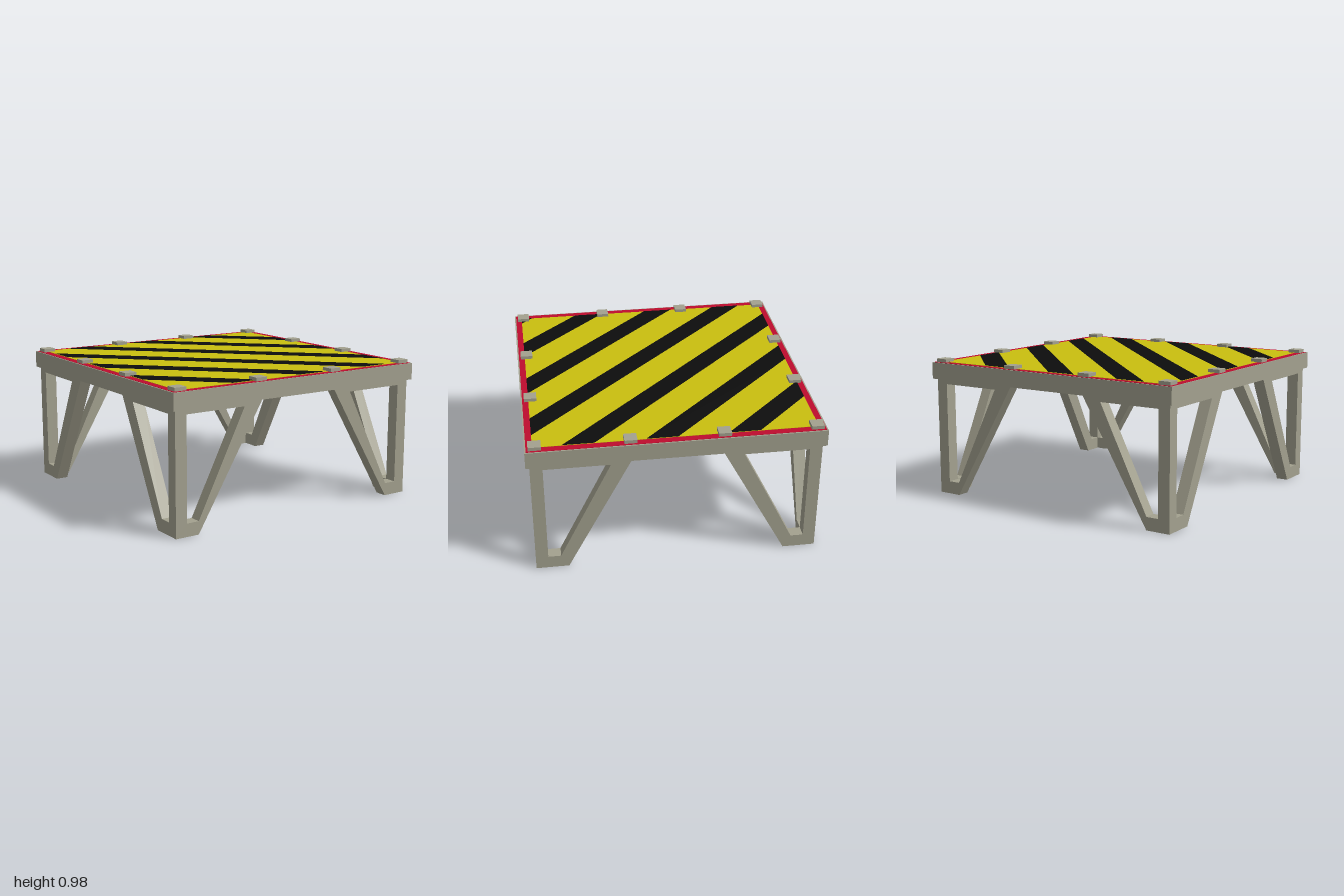
import * as THREE from 'three';

const mat = (name, color) => {
  const m = new THREE.MeshStandardMaterial({ color });
  m.name = name;
  return m;
};

export function createModel() {
  const root = new THREE.Group();
  root.name = 'platform';
  const frameMat = mat('painted metal', 0xa3a18f);
  const redMat = mat('border red', 0xbe0c2e);
  const yellowMat = mat('warning yellow', 0xcabf0f);
  const blackMat = mat('stripe black', 0x0d0d0d);

  const add = (name, geometry, material, x = 0, y = 0, z = 0, parent = root) => {
    const mesh = new THREE.Mesh(geometry, material);
    mesh.name = name;
    mesh.position.set(x, y, z);
    parent.add(mesh);
    return mesh;
  };
  const slab = (name, w, d, y0, y1, material) =>
    add(name, new THREE.BoxGeometry(w, y1 - y0, d), material, 0, (y0 + y1) / 2, 0);

  // Deck with red border and yellow field
  slab('deck', 2, 2, 0.837, 0.955, frameMat);
  slab('deckBorder', 1.98, 1.98, 0.955, 0.957, redMat);
  const halfX = 0.94, halfZ = 0.948;
  slab('deckField', halfX * 2, halfZ * 2, 0.957, 0.959, yellowMat);

  // Keeps the part of a polygon where sign * (z - x - limit) >= 0
  const clip = (points, limit, sign) => {
    const out = [];
    const side = ([x, z]) => sign * (z - x - limit);
    points.forEach((p, i) => {
      const q = points[(i + 1) % points.length];
      const a = side(p), b = side(q);
      if (a >= 0) out.push(p);
      if (a * b < 0) {
        const t = a / (a - b);
        out.push([p[0] + (q[0] - p[0]) * t, p[1] + (q[1] - p[1]) * t]);
      }
    });
    return out;
  };

  // Diagonal stripes trimmed to the field
  const field = [[-halfX, -halfZ], [-halfX, halfZ], [halfX, halfZ], [halfX, -halfZ]];
  for (let k = -1; k <= 6; k++) {
    const start = -1.495 + 0.55 * k;
    const points = clip(clip(field, start, 1), start + 0.213, -1);
    if (points.length < 3) continue;
    const shape = new THREE.Shape(points.map(([x, z]) => new THREE.Vector2(x, -z)));
    add('deckStripe', new THREE.ShapeGeometry(shape).rotateX(-Math.PI / 2), blackMat, 0, 0.961, 0);
  }

  // Clamps around the rim
  const spots = [-0.934, -0.311, 0.311, 0.934];
  const clampGeometry = new THREE.BoxGeometry(0.086, 0.027, 0.086);
  spots.forEach((x, i) => spots.forEach((z, j) => {
    if (i % 3 === 0 || j % 3 === 0) add('clamp', clampGeometry, frameMat, x, 0.9675, z);
  }));

  // Legs: two open braced panels meeting at each corner
  const outer = 0.975, inner = 0.89, thick = outer - inner;
  const panel = (sign, foot) => {
    const pts = (list) => list.map(([u, y]) => new THREE.Vector2(sign * u, y));
    const shape = new THREE.Shape(pts([[outer, 0], [outer, 0.84], [0.3, 0.84], [foot, 0]]));
    shape.holes.push(new THREE.Path(pts([[inner, 0.09], [0.802, 0.09], [0.445, 0.803], [inner, 0.803]])));
    return new THREE.ExtrudeGeometry(shape, { depth: thick, bevelEnabled: false });
  };
  for (const sx of [-1, 1]) for (const sz of [-1, 1]) {
    const leg = new THREE.Group();
    leg.name = `${sz > 0 ? 'front' : 'back'}${sx > 0 ? 'Left' : 'Right'}Leg`;
    root.add(leg);
    add('legPanelAcross', panel(sx, 0.802), frameMat, 0, 0, sz > 0 ? inner : -outer, leg);
    add('legPanelAlong', panel(sz, 0.75).rotateY(-Math.PI / 2), frameMat, sx > 0 ? outer : -inner, 0, 0, leg);
  }
  return root;
}
